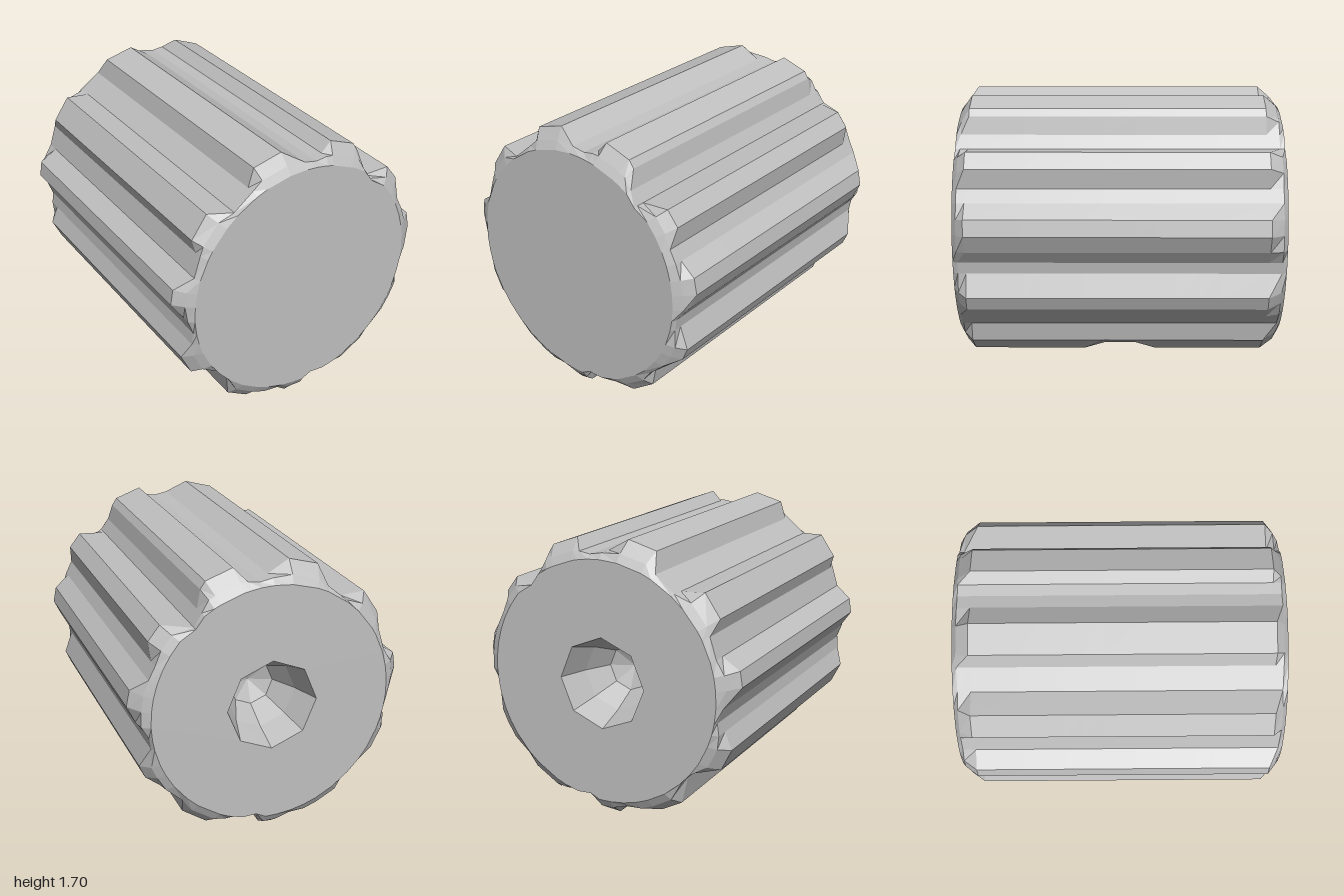
import * as THREE from 'three';

const CY = 0.85; // axis height

// lobed grip outline, clockwise from the top, as x, y pairs
const OUTLINE = [
  -0.13, 1.70, 0, 1.625, 0.08, 1.61, 0.15, 1.62, 0.21, 1.685, 0.375, 1.625, 0.405, 1.58,
  0.425, 1.47, 0.47, 1.39, 0.645, 1.40, 0.715, 1.31, 0.70, 1.19, 0.74, 1.11, 0.83, 1.03,
  0.85, 0.93, 0.80, 0.825, 0.745, 0.75, 0.735, 0.68, 0.785, 0.54, 0.75, 0.46, 0.66, 0.39,
  0.55, 0.31, 0.525, 0.19, 0.375, 0.09, 0.28, 0.13, 0.18, 0.135, 0.09, 0.14, 0.035, 0.02,
  -0.05, 0.005, -0.14, 0.09, -0.24, 0.085, -0.34, 0.08, -0.47, 0.15, -0.51, 0.315,
  -0.575, 0.385, -0.725, 0.41, -0.79, 0.54, -0.745, 0.645, -0.735, 0.72, -0.77, 0.81,
  -0.85, 0.925, -0.835, 1.02, -0.725, 1.09, -0.685, 1.22, -0.71, 1.305, -0.615, 1.445,
  -0.465, 1.435, -0.345, 1.535, -0.31, 1.65,
];

// outline with its lobes trimmed to a maximum radius
function ring(maxR) {
  const pts = [];
  for (let i = 0; i < OUTLINE.length; i += 2) {
    const p = new THREE.Vector2(OUTLINE[i], OUTLINE[i + 1] - CY);
    pts.push(p.clampLength(0, maxR));
  }
  return pts;
}

// crater for the set screw, sunk into the underside
function sink(x, y, z) {
  if (y > -0.4) return y;
  const d = Math.hypot(x / 0.52, z / 0.56);
  if (d >= 1) return y;
  const depth = d > 0.65 ? 0.17 * (1 - d) / 0.35 : 0.17 + 0.33 * Math.min(1, (0.65 - d) / 0.35);
  return Math.max(y, depth - CY);
}

function gripGeometry() {
  const sections = [[-1, 0.74], [-0.97, 0.79], [-0.89, 1]];
  for (const z of [-0.6, -0.48, -0.34, -0.22, -0.1, 0.1, 0.22, 0.34, 0.47, 0.58]) sections.push([z, 1]);
  sections.push([0.92, 1], [0.97, 0.79], [1, 0.74]);
  const pos = [], index = [], n = OUTLINE.length / 2;
  sections.forEach(([z, r], s) => {
    ring(r).forEach((p, i) => {
      pos.push(p.x, sink(p.x, p.y, z), z);
      if (s === 0) return;
      const j = (i + 1) % n, a = (s - 1) * n, b = s * n;
      index.push(a + i, b + i, b + j, a + i, b + j, a + j);
    });
  });
  const geo = new THREE.BufferGeometry();
  geo.setAttribute('position', new THREE.Float32BufferAttribute(pos, 3));
  geo.setIndex(index);
  geo.computeVertexNormals();
  return geo;
}

export function createModel() {
  const group = new THREE.Group();
  const metal = new THREE.MeshStandardMaterial({ color: 0xc0c0c0, flatShading: true, side: THREE.DoubleSide });
  metal.name = 'light grey';

  const add = (name, geo) => {
    const mesh = new THREE.Mesh(geo, metal);
    mesh.name = name;
    mesh.position.y = CY;
    group.add(mesh);
  };

  add('fluted grip', gripGeometry());

  // flat closed front
  const face = new THREE.ShapeGeometry(new THREE.Shape(ring(0.74)));
  add('front face', face.translate(0, 0, 1));

  // back face with an octagonal opening, mirrored so it can be turned round
  const back = new THREE.Shape(ring(0.74).map((p) => new THREE.Vector2(-p.x, p.y)));
  const rim = [];
  for (let i = 0; i < 8; i++) {
    const a = (i * Math.PI) / 4;
    rim.push(new THREE.Vector2(0.28 * Math.cos(a), 0.28 * Math.sin(a)));
  }
  back.holes.push(new THREE.Path(rim));
  add('back face', new THREE.ShapeGeometry(back).rotateY(Math.PI).translate(0, 0, -1));

  // shaft socket sunk into the back
  const socket = [[0, -0.6], [0.14, -0.66], [0.22, -0.82], [0.28, -1]].map(([r, h]) => new THREE.Vector2(r, h));
  add('shaft socket', new THREE.LatheGeometry(socket, 8).rotateX(Math.PI / 2));

  return group;
}
